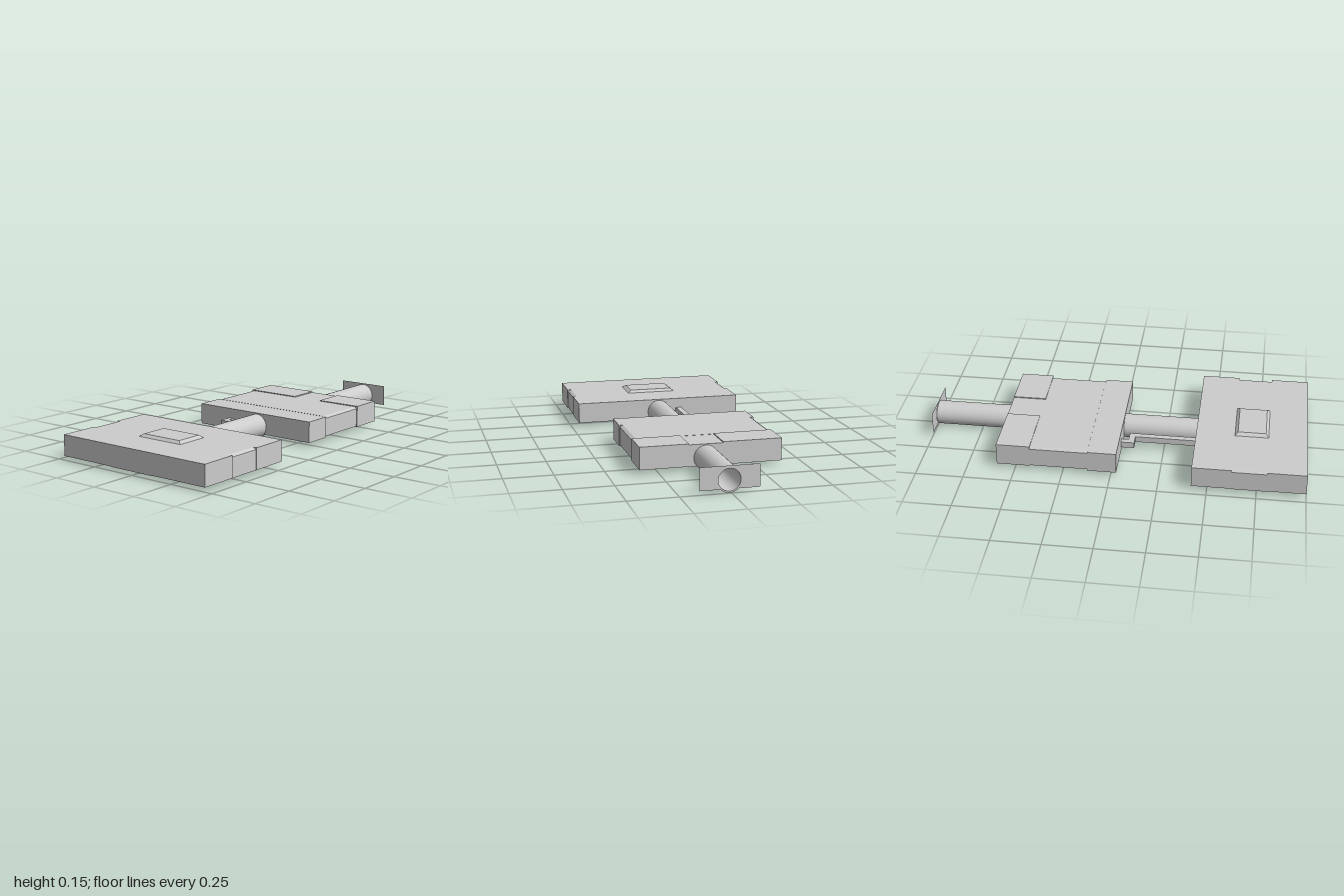
import * as THREE from 'three';

const mat = new THREE.MeshStandardMaterial({ color: 0xcccccc, side: THREE.DoubleSide });

export function createModel() {
  const model = new THREE.Group();
  model.name = 'modularStation';

  const add = (parent, name, geometry) => {
    const mesh = new THREE.Mesh(geometry, mat);
    mesh.name = name;
    parent.add(mesh);
    return mesh;
  };
  const group = (name) => {
    const g = new THREE.Group();
    g.name = name;
    model.add(g);
    return g;
  };
  // Box given by its limits on each axis
  const block = (parent, name, x0, x1, y0, y1, z0, z1) => {
    const g = new THREE.BoxGeometry(x1 - x0, y1 - y0, z1 - z0);
    g.translate((x0 + x1) / 2, (y0 + y1) / 2, (z0 + z1) / 2);
    return add(parent, name, g);
  };
  // Bay running across a room, with chamfered upper edges at both ends
  const bay = (parent, name, x0, x1, y0, y1, z0, z1, cut = 0.016, drop = 0.01) => {
    const s = new THREE.Shape([
      [-z0, y0], [-z0, y1 - drop], [-z0 - cut, y1],
      [-z1 + cut, y1], [-z1, y1 - drop], [-z1, y0],
    ].map(([a, b]) => new THREE.Vector2(a, b)));
    const g = new THREE.ExtrudeGeometry(s, { depth: x1 - x0, bevelEnabled: false });
    g.rotateY(Math.PI / 2);
    g.translate(x0, 0, 0);
    return add(parent, name, g);
  };

  // Large room: chamfered central bay between two rows of modules
  const large = group('largeRoom');
  const rows = [-0.46, -0.14, 0.14, 0.46];
  bay(large, 'largeCentreBay', -0.8, -0.62, 0.021, 0.133, -0.46, 0.455);
  for (const [x0, x1] of [[-1, -0.8], [-0.62, -0.42]]) {
    for (let i = 0; i < 3; i++) {
      block(large, 'largeRoomModule', x0, x1, i === 1 ? 0.021 : 0.023, 0.133, rows[i], rows[i + 1]);
    }
  }

  // Raised skylight with sloping sides
  const sky = new THREE.BoxGeometry(0.18, 0.016, 0.275);
  const p = sky.attributes.position;
  for (let i = 0; i < p.count; i++) {
    if (p.getY(i) > 0) {
      p.setX(i, p.getX(i) * 0.81);
      p.setZ(i, p.getZ(i) * 0.85);
    }
  }
  const skyFlat = sky.toNonIndexed();
  skyFlat.computeVertexNormals();
  add(large, 'skylight', skyFlat).position.set(-0.71, 0.139, -0.003);

  // Small room: central bay, low side modules and raised corner modules
  const small = group('smallRoom');
  bay(small, 'smallCentreBay', 0.12, 0.42, 0.026, 0.134, -0.385, 0.34);
  block(small, 'innerModuleBack', -0.03, 0.12, 0.021, 0.133, -0.39, -0.14);
  block(small, 'innerModuleCentre', -0.03, 0.12, 0.021, 0.133, -0.14, 0.14);
  block(small, 'innerModuleFront', -0.03, 0.12, 0.021, 0.133, 0.14, 0.345);
  block(small, 'outerModuleBack', 0.42, 0.595, 0.022, 0.138, -0.385, -0.08);
  block(small, 'outerModuleCentre', 0.42, 0.595, 0.021, 0.133, -0.08, 0.095);
  block(small, 'outerModuleFront', 0.42, 0.595, 0.022, 0.138, 0.095, 0.345);

  // Round corridors with hollow walls
  const corridor = (name, x0, x1, z) => {
    const ring = new THREE.Shape();
    ring.absarc(0, 0, 0.063, 0, Math.PI * 2, false);
    const hole = new THREE.Path();
    hole.absarc(0, 0, 0.055, 0, Math.PI * 2, true);
    ring.holes.push(hole);
    const g = new THREE.ExtrudeGeometry(ring, { depth: x1 - x0, bevelEnabled: false, curveSegments: 24 });
    // Radial normals on the curved walls
    const pos = g.attributes.position, n = g.attributes.normal;
    for (let i = 0; i < pos.count; i++) {
      if (Math.abs(n.getZ(i)) > 0.5) continue;
      const x = pos.getX(i), y = pos.getY(i), r = Math.hypot(x, y), s = r > 0.059 ? 1 : -1;
      n.setXYZ(i, s * x / r, s * y / r, 0);
    }
    g.rotateY(Math.PI / 2);
    add(model, name, g).position.set(x0, 0.064, z);
  };
  corridor('linkCorridor', -0.43, -0.02, 0);
  corridor('entryCorridor', 0.585, 0.994, 0.008);
  block(model, 'doorPanel', 0.594, 0.6, 0.08, 0.098, -0.01, 0.026);

  // Thin end plate, cut away around the corridor mouth
  const r = 0.06, low = 0.02 - 0.064, a = Math.asin(low / r), cx = r * Math.cos(a);
  const plate = new THREE.Shape();
  plate.moveTo(-0.147, low);
  plate.lineTo(-cx, low);
  plate.absarc(0, 0, r, Math.PI - a, a, true);
  plate.lineTo(0.147, low);
  plate.lineTo(0.147, 0.069);
  plate.lineTo(-0.147, 0.069);
  const plateGeo = new THREE.ShapeGeometry(plate, 32);
  plateGeo.rotateY(Math.PI / 2);
  add(model, 'endPlate', plateGeo).position.set(0.996, 0.064, 0.007);

  // Square service duct with a dog-leg between the rooms
  const duct = new THREE.Shape([
    [-0.43, 0.1], [-0.068, 0.1], [-0.068, 0.16], [-0.02, 0.16],
    [-0.02, 0.192], [-0.1, 0.192], [-0.1, 0.132], [-0.43, 0.132],
  ].map(([x, y]) => new THREE.Vector2(x, y)));
  const ductGeo = new THREE.ExtrudeGeometry(duct, { depth: 0.032, bevelEnabled: false });
  ductGeo.rotateX(-Math.PI / 2);
  add(model, 'serviceDuct', ductGeo).position.y = 0.048;

  return model;
}
